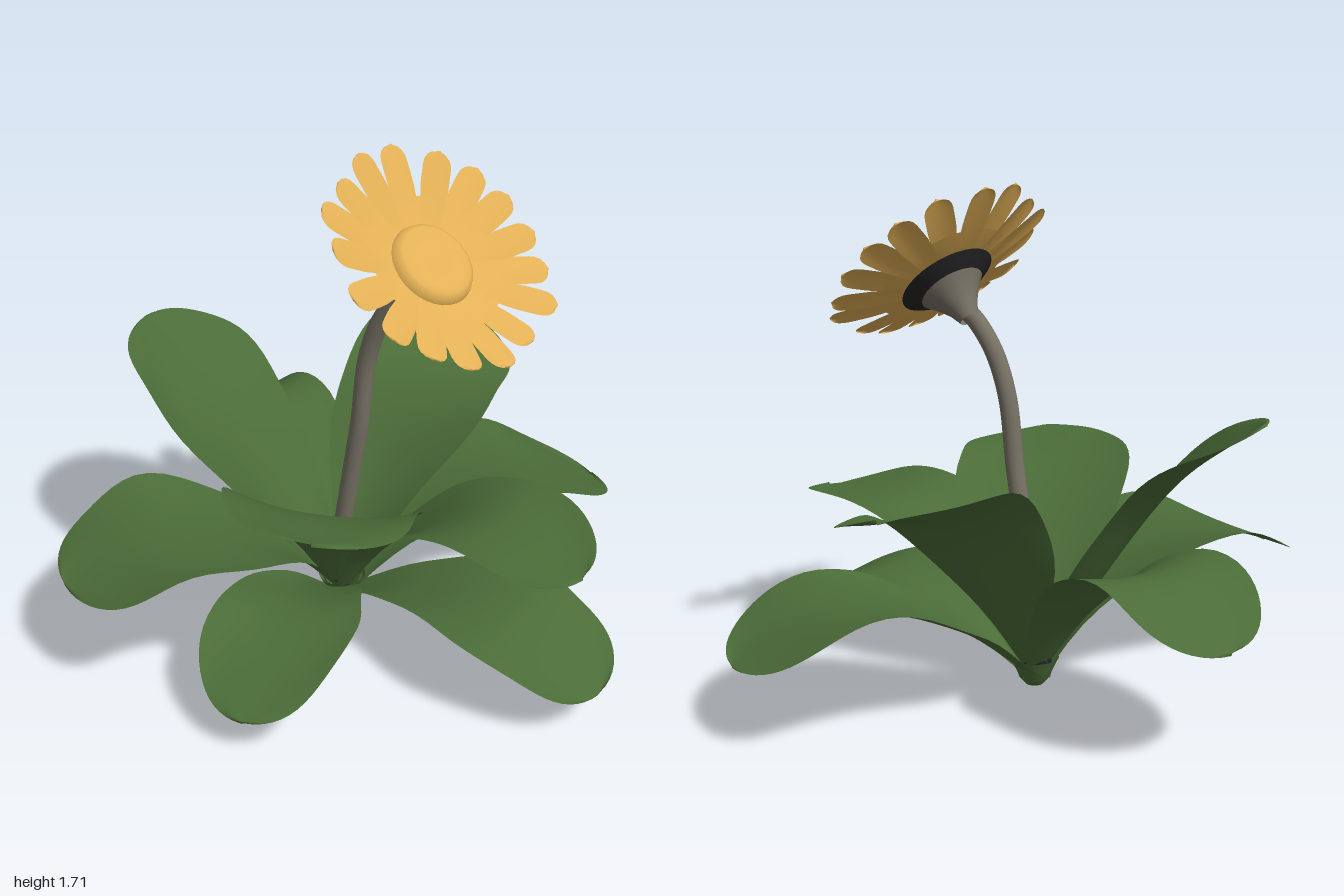
import * as THREE from 'three';
import { ParametricGeometry } from 'three/addons/geometries/ParametricGeometry.js';

const V = (x, y, z) => new THREE.Vector3(x, y, z);
const mat = (name, color) => {
  const m = new THREE.MeshStandardMaterial({ color, side: THREE.DoubleSide });
  m.name = name;
  return m;
};

function add(parent, name, geometry, material) {
  const mesh = new THREE.Mesh(geometry, material);
  mesh.name = name;
  parent.add(mesh);
  return mesh;
}

function surface(fn, slices, stacks) {
  const g = new ParametricGeometry(fn, slices, stacks);
  g.computeVertexNormals();
  return g;
}

const ROOT = [-0.02, 0.02, -0.085];

// A broad, blunt-tipped leaf swept along its midrib
function leafGeometry(points, width, cup, roll, seed) {
  const rib = new THREE.CatmullRomCurve3([ROOT, ...points].map((p) => V(...p)));
  const end = points[points.length - 1];
  const flat = V(end[0] - ROOT[0], 0, end[2] - ROOT[2]).normalize();
  const across = V(0, 1, 0).cross(flat);
  return surface((u, v, target) => {
    const t = 1 - Math.pow(1 - v, 1.8);
    const s = u * 2 - 1;
    const p = rib.getPoint(t);
    const tangent = rib.getTangent(t);
    const side = across.clone().applyAxisAngle(tangent, roll * t);
    const normal = tangent.clone().cross(side).normalize();
    const grow = 0.16 + 0.84 * THREE.MathUtils.smoothstep(t, -0.05, 0.68);
    const round = Math.sqrt(Math.max(0, 1 - Math.pow(Math.max(0, (t - 0.58) / 0.42), 3.6)));
    const ripple = 1 + 0.03 * Math.sin(t * 17 + seed * 2 + s);
    const half = (width / 2) * grow * round * ripple;
    const lift = half * s * s * cup * (1.15 - t)
      + 0.012 * t * Math.sin(t * 13 + s * 2.5 + seed) * s * s;
    target.copy(p).addScaledVector(side, s * half).addScaledVector(normal, lift);
  }, 14, 28);
}

// One blunt petal lying along +x, rising outward
function petalGeometry(length, width, rise) {
  return surface((u, v, target) => {
    const t = 1 - Math.pow(1 - v, 1.6);
    const s = u * 2 - 1;
    const r = 0.1 + (length - 0.1) * t;
    const round = Math.sqrt(Math.max(0, 1 - Math.pow(Math.max(0, (t - 0.8) / 0.2), 3)));
    const half = (width / 2) * (0.6 + 0.4 * Math.min(1, t / 0.6)) * round;
    target.set(r, rise * Math.pow(t, 1.2) - 0.008 * s * s * t, -s * half);
  }, 6, 12);
}

export function createModel() {
  const model = new THREE.Group();
  model.name = 'floweringPlant';
  const green = mat('leafGreen', 0x4b6c38);
  const yellow = mat('petalYellow', 0xe2b056);
  const grey = mat('stemGrey', 0x777265);
  const dark = mat('calyxBlack', 0x242426);

  // Leaves: midrib points, width, cupping, roll
  const leaves = [
    ['lowerBackLeaf', [[0.02, 0.32, -0.32], [0.07, 0.54, -0.66], [0.11, 0.39, -1]], 0.55, 0.3, 0],
    ['upperBackLeaf', [[-0.15, 0.36, -0.25], [-0.26, 0.74, -0.5], [-0.31, 0.98, -0.8]], 0.62, 0.4, 0],
    ['lowerRightLeaf', [[-0.3, 0.33, -0.13], [-0.65, 0.48, -0.22], [-1, 0.38, -0.35]], 0.68, 0.22, 0],
    ['upperLeftLeaf', [[0.2, 0.37, -0.13], [0.48, 0.69, -0.18], [0.85, 0.79, -0.3]], 0.58, 0.35, 0.32],
    ['lowerLeftLeaf', [[0.3, 0.27, -0.01], [0.65, 0.4, 0.14], [0.99, 0.25, 0.24]], 0.6, 0.2, 0],
    ['lowerFrontLeaf', [[0, 0.2, 0.25], [0.05, 0.27, 0.65], [0.1, 0.12, 1]], 0.52, 0.25, 0],
    ['upperFrontLeaf', [[0.02, 0.33, 0.15], [0.05, 0.56, 0.5], [0.06, 0.55, 0.93]], 0.53, 0.42, 0],
    ['lowerFrontRightLeaf', [[-0.24, 0.2, 0.03], [-0.5, 0.28, 0.18], [-0.83, 0.14, 0.35]], 0.48, 0.25, 0],
    ['upperFrontRightLeaf', [[-0.18, 0.36, 0.03], [-0.38, 0.64, 0.22], [-0.62, 0.75, 0.45]], 0.63, 0.28, -0.1],
  ];
  leaves.forEach(([name, points, width, cup, roll], i) => {
    add(model, name, leafGeometry(points, width, cup, roll, i), green);
  });

  // Crown where the leaves meet
  const crown = [[0, 0], [0.03, 0.003], [0.05, 0.025], [0.07, 0.07], [0.085, 0.1]];
  add(model, 'crown', new THREE.LatheGeometry(crown.map((p) => new THREE.Vector2(...p)), 20), green)
    .position.set(-0.02, 0, -0.085);

  // Curved stem with a dark foot
  const foot = new THREE.CatmullRomCurve3([V(-0.02, 0.06, -0.1), V(-0.02, 0.17, -0.1), V(-0.02, 0.28, -0.097)]);
  add(model, 'stemFoot', new THREE.TubeGeometry(foot, 12, 0.048, 14), dark);
  const path = new THREE.CatmullRomCurve3([
    V(-0.018, 0.27, -0.09), V(-0.012, 0.55, -0.04), V(-0.008, 0.75, -0.004), V(0, 1, 0.026),
    V(0.012, 1.15, 0.078), V(0.032, 1.25, 0.143), V(0.045, 1.275, 0.165),
  ]);
  add(model, 'stem', new THREE.TubeGeometry(path, 40, 0.032, 14), grey);

  // Flower head, tilted forward
  const flower = new THREE.Group();
  flower.name = 'flowerHead';
  flower.position.set(0.06, 1.375, 0.25);
  flower.rotation.x = 0.73;
  model.add(flower);

  const lathe = (name, pts, material) =>
    add(flower, name, new THREE.LatheGeometry(pts.map((p) => new THREE.Vector2(...p)), 32), material);
  lathe('receptacle', [[0.034, -0.16], [0.052, -0.115], [0.085, -0.065], [0.114, -0.032]], grey);
  lathe('calyx', [[0.114, -0.032], [0.14, -0.016], [0.17, 0.004]], dark);
  lathe('petalRing', [[0.24, 0.032], [0.16, 0.012], [0.1, 0.004]], yellow);
  lathe('flowerCentre', [[0.145, 0.008], [0.138, 0.026], [0.12, 0.04], [0.095, 0.04],
    [0.07, 0.034], [0.035, 0.04], [0, 0.043]], yellow);

  // Petals with slight variation in length and lift
  const count = 17;
  for (let i = 0; i < count; i++) {
    const length = 0.402 + 0.014 * Math.sin(i * 2.3);
    const rise = 0.083 + 0.012 * Math.sin(i * 3.7);
    const petal = add(flower, 'petal' + (i + 1), petalGeometry(length, 0.102, rise), yellow);
    petal.rotation.y = ((i + 0.75 + 0.12 * Math.sin(i * 5.1)) / count) * Math.PI * 2;
  }
  return model;
}
